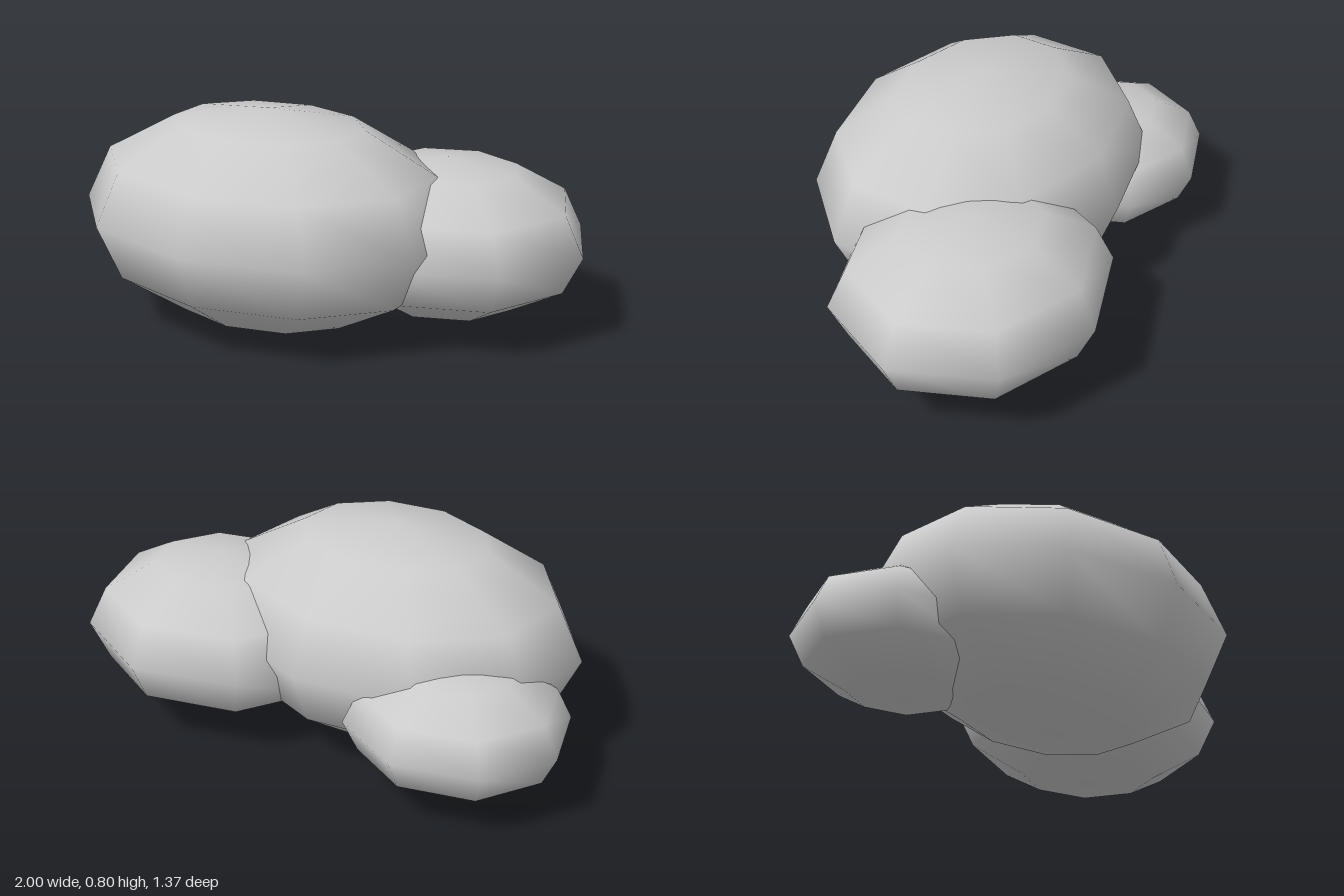
import * as THREE from 'three';

// Smooth, coarse ellipsoid with vertical poles and a vertex column facing front
function lobe(name, segments, [rx, ry, rz], [x, y, z]) {
  const geometry = new THREE.SphereGeometry(1, segments, 6);
  geometry.rotateY(Math.PI / 2);
  geometry.scale(rx, ry, rz);
  const mesh = new THREE.Mesh(geometry, new THREE.MeshStandardMaterial({ color: 0xcccccc }));
  mesh.name = name;
  mesh.position.set(x, y, z);
  return mesh;
}

export function createModel() {
  const group = new THREE.Group();
  group.name = 'lobedCluster';
  group.add(
    // Large central mass
    lobe('mainLobe', 10, [0.74, 0.4, 0.57], [-0.105, 0.4, 0.115]),
    // Medium mass behind, on the left (+x)
    lobe('leftLobe', 8, [0.537, 0.288, 0.487], [0.461, 0.339, -0.2]),
    // Small mass behind, on the right (-x)
    lobe('rightLobe', 8, [0.415, 0.225, 0.38], [-0.585, 0.275, -0.14])
  );
  return group;
}
